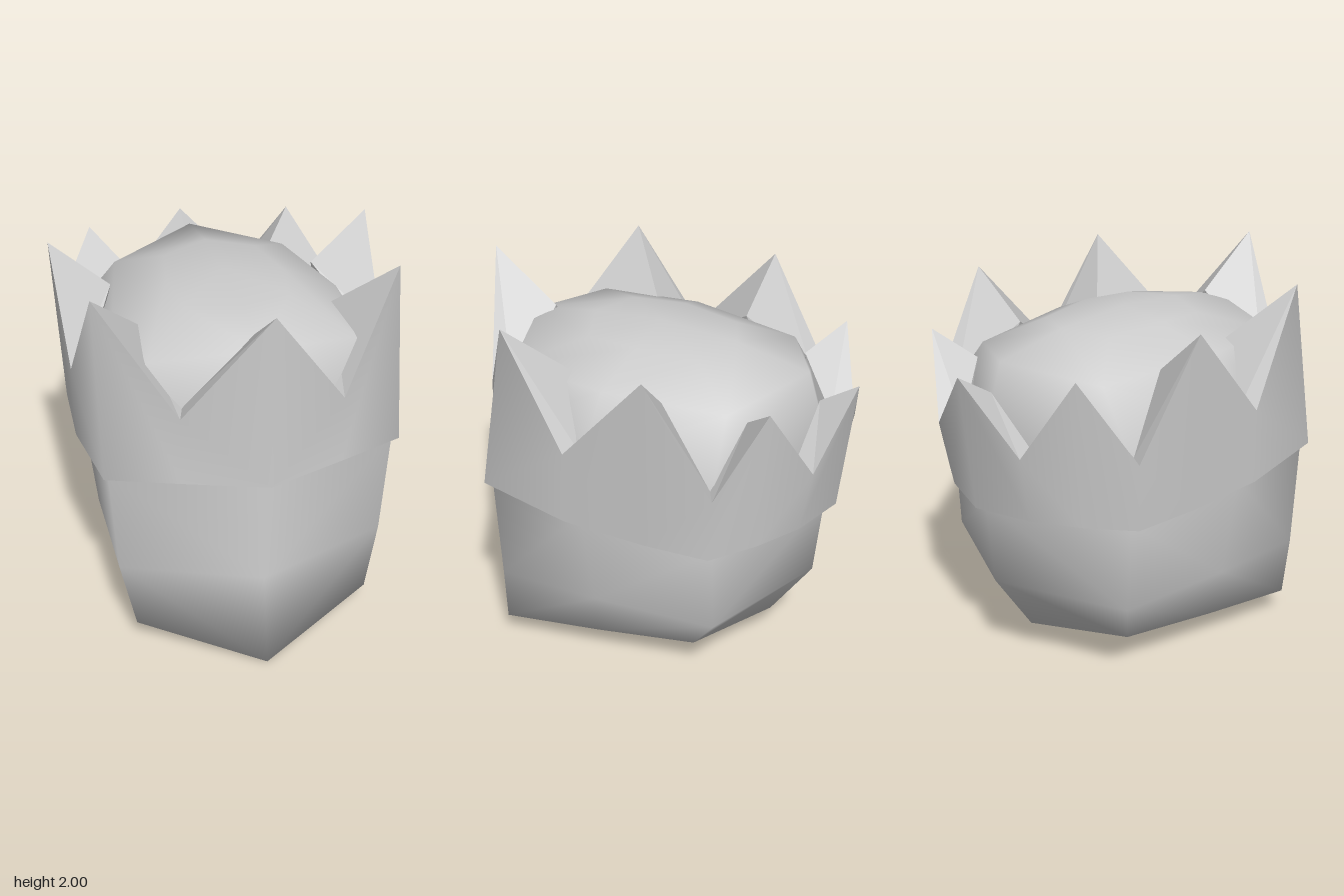
import * as THREE from 'three';
import { mergeVertices } from 'three/addons/utils/BufferGeometryUtils.js';

const material = new THREE.MeshStandardMaterial({ color: 0xcccccc, side: THREE.DoubleSide });

// Mirrors a half ring (front centre -> +x side -> back centre) into a closed ring.
function mirrorRing(half) {
  const other = half.slice(1, -1).reverse().map(([x, y, z]) => [-x, y, z]);
  return [...half, ...other];
}

// Skins closed rings in order; faces point outward when rings go upward.
function loft(rings, smooth) {
  const n = rings[0].length;
  const index = [];
  for (let r = 0; r < rings.length - 1; r++) {
    for (let i = 0; i < n; i++) {
      const j = (i + 1) % n;
      const a = r * n + i, b = r * n + j, c = b + n, d = a + n;
      // The diagonal is mirrored so both halves match.
      if (i < n / 2) index.push(a, b, c, a, c, d);
      else index.push(a, b, d, b, c, d);
    }
  }
  let geometry = new THREE.BufferGeometry();
  geometry.setAttribute('position', new THREE.Float32BufferAttribute(rings.flat(2), 3));
  geometry.setIndex(index);
  geometry = smooth ? mergeVertices(geometry) : geometry.toNonIndexed();
  geometry.computeVertexNormals();
  return geometry;
}

function addPart(parent, name, geometry) {
  const mesh = new THREE.Mesh(geometry, material);
  mesh.name = name;
  parent.add(mesh);
}

export function createModel() {
  const model = new THREE.Group();
  model.name = 'crownedHead';

  // Head: half rings from the underside up to the top of the skull.
  const point = (x, y, z) => Array.from({ length: 5 }, () => [x, y, z]);
  const headRings = [
    point(0, 0.09, 0.17),
    [[0, 0, 0.99], [0.61, 0.13, 0.69], [0.55, 0.16, 0.17], [0.47, 0.19, -0.35], [0, 0.17, -0.6]],
    [[0, 0.48, 0.9], [0.68, 0.48, 0.65], [0.695, 0.49, 0.1], [0.67, 0.5, -0.54], [0, 0.5, -0.82]],
    [[0, 1.1, 0.91], [0.71, 1.05, 0.65], [0.73, 1.0, 0.15], [0.7, 0.96, -0.54], [0, 0.94, -0.86]],
    [[0, 1.42, 0.87], [0.68, 1.36, 0.63], [0.73, 1.35, 0.12], [0.67, 1.32, -0.53], [0, 1.32, -0.84]],
    [[0, 1.7, 0.75], [0.5, 1.63, 0.62], [0.57, 1.62, 0.1], [0.46, 1.58, -0.5], [0, 1.64, -0.74]],
    [[0, 1.745, 0.42], [0.26, 1.73, 0.32], [0.29, 1.735, 0.05], [0.24, 1.71, -0.26], [0, 1.725, -0.36]],
    point(0, 1.765, 0.05),
  ].map(mirrorRing);
  addPart(model, 'head', loft(headRings, true));

  // Crown: columns alternate between spike tips and valleys, front to back.
  const crown = new THREE.Group();
  crown.name = 'crown';
  model.add(crown);

  const outerTop = mirrorRing([
    [0, 2, 0.99], [0.39, 1.43, 0.82], [0.73, 1.93, 0.53], [0.8, 1.38, 0.19], [0.825, 1.86, -0.24],
    [0.775, 1.3, -0.565], [0.55, 1.68, -0.745], [0.32, 1.28, -0.89], [0, 1.62, -0.99],
  ]);
  const innerTop = mirrorRing([
    [0, 1.73, 0.65], [0.36, 1.43, 0.72], [0.48, 1.65, 0.3], [0.72, 1.38, 0.155], [0.53, 1.61, -0.2],
    [0.69, 1.3, -0.52], [0.4, 1.53, -0.58], [0.27, 1.28, -0.78], [0, 1.5, -0.8],
  ]);
  const outerBottom = mirrorRing([
    [0, 1.1, 0.985], [0.39, 1.077, 0.83], [0.735, 1.055, 0.685], [0.8, 1.0, 0.2], [0.79, 0.975, -0.22],
    [0.75, 0.955, -0.54], [0.53, 0.945, -0.7], [0.3, 0.94, -0.83], [0, 0.935, -0.92],
  ]);
  const innerBottom = outerBottom.map(([x, y, z]) => [x * 0.87, y, z * 0.89]);

  addPart(crown, 'crownBand', loft([outerBottom, outerTop], true));
  addPart(crown, 'spikeTops', loft([outerTop, innerTop], false));
  addPart(crown, 'crownInnerWall', loft([innerTop, innerBottom], false));
  addPart(crown, 'crownUnderside', loft([innerBottom, outerBottom], false));

  return model;
}
